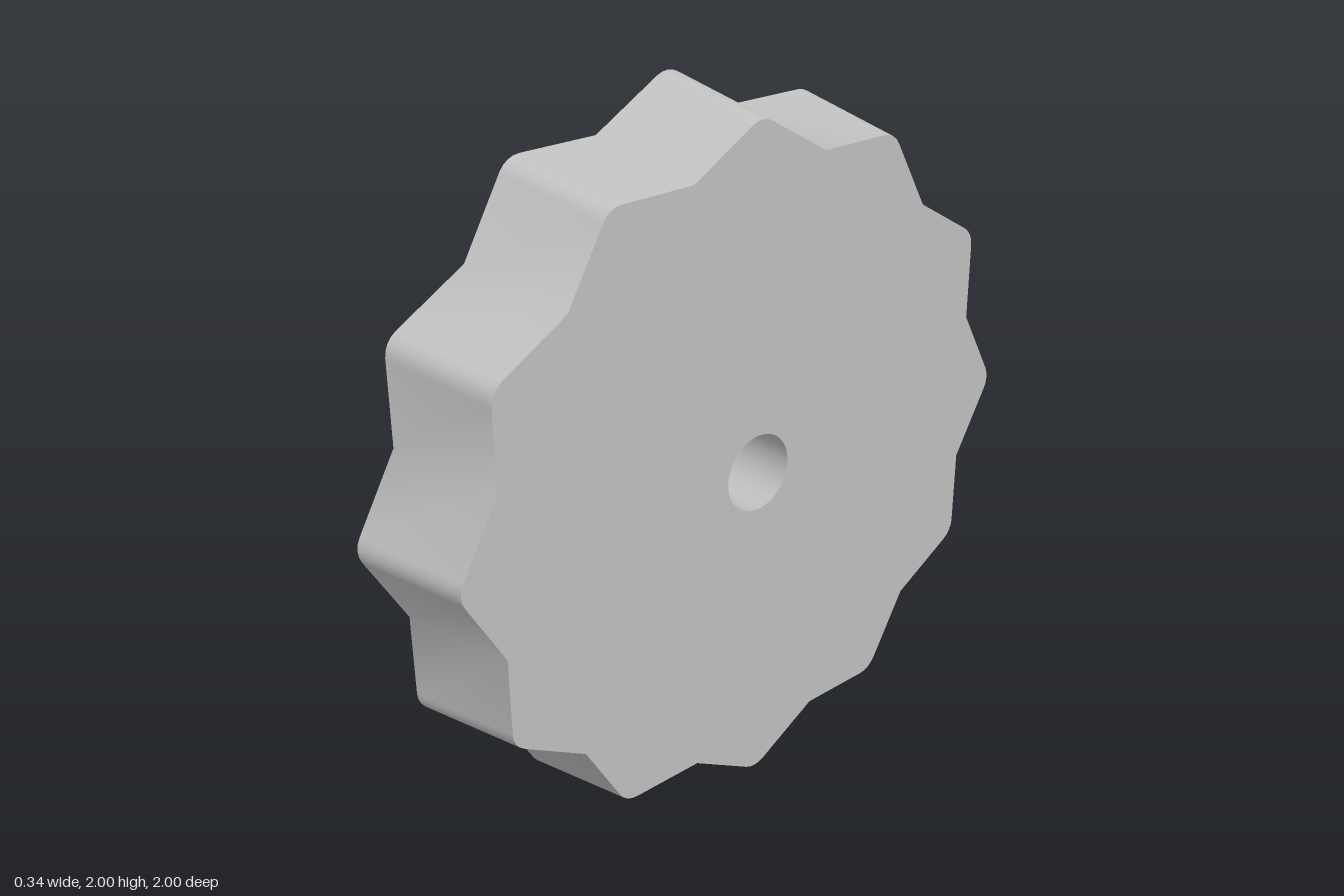
import * as THREE from 'three';
import { toCreasedNormals } from 'three/addons/utils/BufferGeometryUtils.js';

const LOBES = 12, X_BACK = -0.175, X_FRONT = 0.17;
const TIP_ROUND = 0.07, VALLEY_R = 0.907, TAPER = 0.94, HOLE_R = 0.108;

// Star outline: straight flanks, rounded tips and sharp valleys
function lobedOutline() {
  const points = [], origin = new THREE.Vector2();
  for (let i = 0; i < LOBES; i++) {
    const turn = (i * Math.PI * 2) / LOBES;
    for (let j = -2; j <= 2; j++) {
      const a = (j / 2) * (Math.PI / 6);
      const p = new THREE.Vector2(1 - TIP_ROUND + TIP_ROUND * Math.cos(a), TIP_ROUND * Math.sin(a));
      points.push(p.rotateAround(origin, turn));
    }
    const v = turn + Math.PI / LOBES;
    points.push(new THREE.Vector2(VALLEY_R * Math.cos(v), VALLEY_R * Math.sin(v)));
  }
  return points;
}

export function createModel() {
  const group = new THREE.Group();
  group.name = 'lobedWheel';
  const grey = new THREE.MeshStandardMaterial({ color: 0xc0c0c0 });
  grey.name = 'light grey';

  // Wheel body with a centre bore
  const shape = new THREE.Shape(lobedOutline());
  const bore = new THREE.Path();
  bore.absarc(0, 0, HOLE_R, 0, Math.PI * 2, true);
  shape.holes.push(bore);
  const geometry = new THREE.ExtrudeGeometry(shape, {
    depth: X_FRONT - X_BACK, bevelEnabled: false, curveSegments: 24,
  });

  // Taper the rim towards one face, keeping the bore straight
  const pos = geometry.attributes.position;
  for (let i = 0; i < pos.count; i++) {
    const x = pos.getX(i), y = pos.getY(i);
    if (pos.getZ(i) > 0.1 && Math.hypot(x, y) > 0.5) {
      pos.setXY(i, x * TAPER, y * TAPER);
    }
  }
  geometry.rotateY(Math.PI / 2);
  geometry.translate(X_BACK, 1, 0);

  const wheel = new THREE.Mesh(toCreasedNormals(geometry, 0.7), grey);
  wheel.name = 'wheelBody';
  group.add(wheel);
  return group;
}
